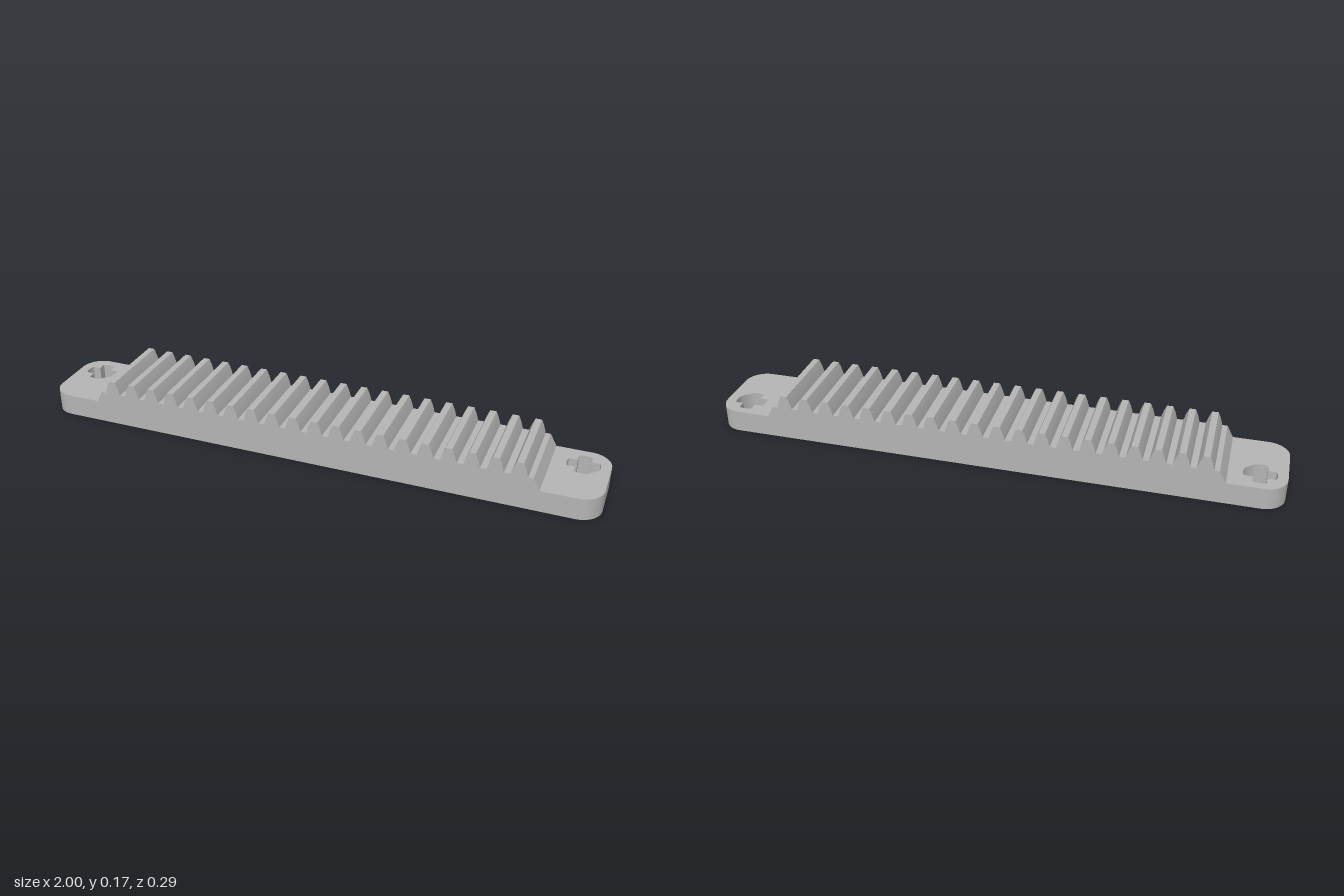
import * as THREE from 'three';
import { toCreasedNormals } from 'three/addons/utils/BufferGeometryUtils.js';

const HALF_DEPTH = 0.146, BASE_TOP = 0.078, ROOT = 0.12, TIP = 0.168;
const TEETH = 20, PITCH = 0.0775;

const grey = new THREE.MeshStandardMaterial({ color: 0xb4b4b4 });
grey.name = 'grey';

// Cross-shaped axle hole with slightly rounded arm ends
function crossHole(cx, cy) {
  const reach = 0.056, half = 0.023, a = Math.asin(half / reach);
  const hole = new THREE.Path();
  for (let i = 0; i < 4; i++) {
    const dir = i * Math.PI / 2;
    const inner = dir - Math.PI / 4, r = half * Math.SQRT2;
    const x = cx + r * Math.cos(inner), y = cy + r * Math.sin(inner);
    if (i === 0) hole.moveTo(x, y); else hole.lineTo(x, y);
    hole.absarc(cx, cy, reach, dir - a, dir + a, false);
  }
  hole.closePath();
  return hole;
}

// Flat bar with rounded corners and a hole at each end
function basePlate() {
  const r = 0.075, x = 1 - r, y = HALF_DEPTH - r;
  const shape = new THREE.Shape();
  shape.absarc(x, y, r, 0, Math.PI / 2, false);
  shape.absarc(-x, y, r, Math.PI / 2, Math.PI, false);
  shape.absarc(-x, -y, r, Math.PI, Math.PI * 1.5, false);
  shape.absarc(x, -y, r, Math.PI * 1.5, Math.PI * 2, false);
  shape.closePath();
  for (const s of [-1, 1]) shape.holes.push(crossHole(s * 0.91, 0.06));
  const geo = new THREE.ExtrudeGeometry(shape, { depth: BASE_TOP, bevelEnabled: false, curveSegments: 10 });
  geo.rotateX(-Math.PI / 2);
  return toCreasedNormals(geo, 0.5);
}

// Raised block whose upper edge is a row of gear teeth
function toothedRack() {
  const shape = new THREE.Shape();
  shape.moveTo(0.805, BASE_TOP);
  shape.lineTo(0.782, ROOT);
  for (let i = TEETH - 1; i >= 0; i--) {
    const c = (i - (TEETH - 1) / 2) * PITCH;
    shape.lineTo(c + 0.028, ROOT);
    shape.lineTo(c + 0.0205, 0.146);
    shape.lineTo(c + 0.011, TIP);
    shape.lineTo(c - 0.011, TIP);
    shape.lineTo(c - 0.0205, 0.146);
    shape.lineTo(c - 0.028, ROOT);
  }
  shape.lineTo(-0.782, ROOT);
  shape.lineTo(-0.805, BASE_TOP);
  shape.closePath();
  const geo = new THREE.ExtrudeGeometry(shape, { depth: HALF_DEPTH * 2, bevelEnabled: false });
  geo.translate(0, 0, -HALF_DEPTH);
  return toCreasedNormals(geo, 0.3);
}

export function createModel() {
  const group = new THREE.Group();
  group.name = 'gearRack';
  const parts = { basePlate: basePlate(), toothedRack: toothedRack() };
  for (const [name, geo] of Object.entries(parts)) {
    const mesh = new THREE.Mesh(geo, grey);
    mesh.name = name;
    group.add(mesh);
  }
  return group;
}
